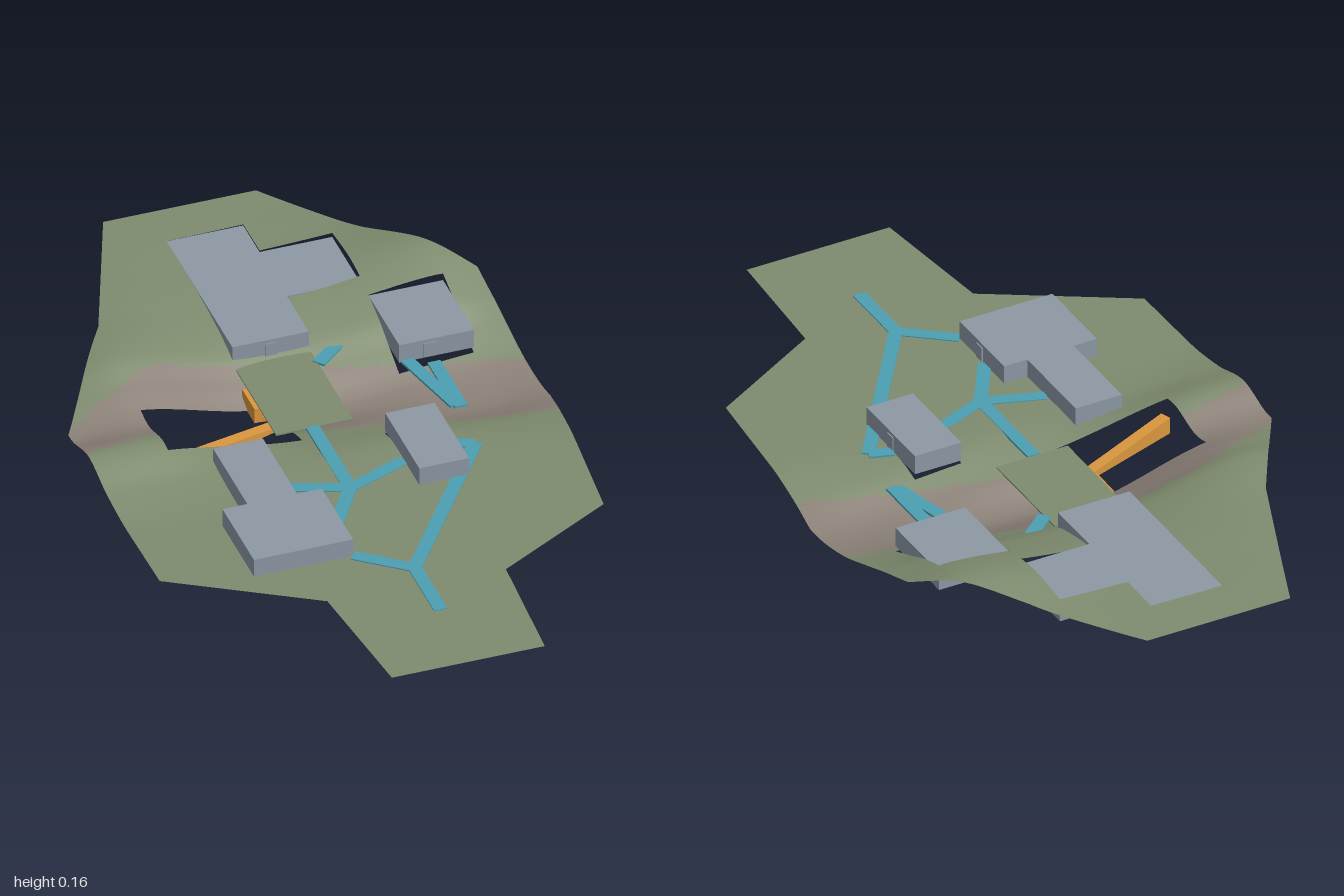
import * as THREE from 'three';

const mat = (name, color, side = THREE.FrontSide) => {
  const m = new THREE.MeshStandardMaterial({ color, side });
  m.name = name;
  return m;
};

const FLOOR = 0.07, ROOF = 0.12;

// Piecewise linear lookup
function linear(keys, vals, t) {
  if (t <= keys[0]) return vals[0];
  for (let i = 1; i < keys.length; i++) {
    if (t <= keys[i]) {
      const f = (t - keys[i - 1]) / (keys[i] - keys[i - 1]);
      return vals[i - 1] + f * (vals[i] - vals[i - 1]);
    }
  }
  return vals[vals.length - 1];
}

// Smooth cubic lookup, level at both ends
function smooth(keys, vals, t) {
  const n = keys.length - 1;
  if (t <= keys[0]) return vals[0];
  if (t >= keys[n]) return vals[n];
  let i = 0;
  while (t > keys[i + 1]) i++;
  const slope = (k) => (k === 0 || k === n ? 0 : (vals[k + 1] - vals[k - 1]) / (keys[k + 1] - keys[k - 1]));
  const d = keys[i + 1] - keys[i], f = (t - keys[i]) / d, g = 1 - f;
  return vals[i] * (1 + 2 * f) * g * g + slope(i) * d * f * g * g
    + vals[i + 1] * f * f * (3 - 2 * f) - slope(i + 1) * d * f * f * g;
}

// Ground heights: one back-to-front section for each x station
const zKeys = [-1, -0.8, -0.6, -0.42, -0.32, -0.2, -0.08, 0.05, 0.2];
const xKeys = [-0.6, -0.4, -0.1, 0.15, 0.45, 0.6];
const sections = [
  [0.12, 0.12, 0.12, 0.115, 0.10, 0.085, 0.115, 0.085, FLOOR],
  [0.12, 0.125, 0.135, 0.143, 0.115, 0.085, 0.11, 0.08, FLOOR],
  [0.12, 0.12, 0.115, 0.09, 0.05, 0.01, 0.05, 0.07, FLOOR],
  [0.12, 0.125, 0.125, 0.09, 0.05, 0.007, 0.035, 0.07, FLOOR],
  [0.12, 0.13, 0.162, 0.12, 0.075, 0.03, 0.018, 0.055, FLOOR],
  [0.12, 0.13, 0.145, 0.105, 0.075, 0.04, 0.03, 0.055, FLOOR],
];
const height = (x, z) => Math.max(0.002, smooth(xKeys, sections.map((s) => smooth(zKeys, s, z)), x));

// Site outline
const leftZ = [-1, -0.56, -0.22, 0.42, 0.64, 1], leftX = [-0.23, -0.4, -0.6, -0.59, -0.23, -0.19];
const rightZ = [-1, -0.74, -0.5, -0.05, 0.48, 0.66, 1], rightX = [0.17, 0.36, 0.57, 0.6, 0.55, 0.23, 0.21];

// Rectangles [x0, x1, z0, z1]
const footprints = [
  [-0.11, 0.09, -0.87, -0.39], [0.09, 0.28, -0.75, -0.55], [0.28, 0.475, -0.485, -0.26],
  [-0.3, -0.17, 0, 0.25], [-0.365, -0.105, 0.25, 0.48], [0.15, 0.28, 0, 0.25],
];
const holes = [...footprints, [-0.4, -0.05, -0.25, -0.05]];

// Bare earth follows the ravine
const isEarth = (x, z) => {
  const centre = linear([-0.6, -0.35, -0.1, 0.15, 0.6], [-0.16, -0.26, -0.25, -0.19, -0.08], x);
  return Math.abs(z - centre) < linear([-0.6, -0.3, 0.6], [0.07, 0.125, 0.125], x);
};

function gridLines(from, to, step, extra) {
  const list = [...extra];
  for (let v = from; v <= to + 1e-6; v += step) list.push(v);
  return [...new Set(list.map((v) => Math.round(v * 1000) / 1000))].sort((a, b) => a - b);
}

function terrainGeometry() {
  const xs = gridLines(-0.6, 0.6, 0.02, holes.flatMap((h) => [h[0], h[1]]));
  const zs = gridLines(-1, 1, 0.0125, [...leftZ, ...rightZ, ...holes.flatMap((h) => [h[2], h[3]])]);
  const pos = [], grass = [], earth = [], w = xs.length;
  for (const z of zs) {
    const l = linear(leftZ, leftX, z), r = linear(rightZ, rightX, z);
    for (const x of xs) {
      const cx = Math.min(r, Math.max(l, x));
      pos.push(cx, height(cx, z), z);
    }
  }
  for (let j = 0; j < zs.length - 1; j++) {
    for (let i = 0; i < w - 1; i++) {
      const a = j * w + i, b = a + 1, c = a + w, d = c + 1;
      if (pos[b * 3] - pos[a * 3] < 1e-6 && pos[d * 3] - pos[c * 3] < 1e-6) continue;
      const x = (xs[i] + xs[i + 1]) / 2, z = (zs[j] + zs[j + 1]) / 2;
      if (holes.some((h) => x > h[0] && x < h[1] && z > h[2] && z < h[3])) continue;
      (isEarth(x, z) ? earth : grass).push(a, c, b, b, c, d);
    }
  }
  const g = new THREE.BufferGeometry();
  g.setAttribute('position', new THREE.Float32BufferAttribute(pos, 3));
  g.setIndex([...grass, ...earth]);
  g.addGroup(0, grass.length, 0);
  g.addGroup(grass.length, earth.length, 1);
  g.computeVertexNormals();
  return g;
}

// Plan outline [x, z] raised from y0 to y1
function prism(points, y0, y1) {
  const shape = new THREE.Shape(points.map(([x, z]) => new THREE.Vector2(x, -z)));
  const g = new THREE.ExtrudeGeometry(shape, { depth: y1 - y0, bevelEnabled: false });
  return g.rotateX(-Math.PI / 2).translate(0, y0, 0);
}

// Straight bar in plan between two points
function bar([x0, z0], [x1, z1], width, y0, y1) {
  const g = new THREE.BoxGeometry(Math.hypot(x1 - x0, z1 - z0), y1 - y0, width);
  g.rotateY(-Math.atan2(z1 - z0, x1 - x0));
  return g.translate((x0 + x1) / 2, (y0 + y1) / 2, (z0 + z1) / 2);
}

export function createModel() {
  const model = new THREE.Group();
  const grass = mat('grass green', 0x7f8c6f, THREE.DoubleSide);
  const earth = mat('earth brown', 0x8b8178, THREE.DoubleSide);
  const grey = mat('building grey', 0x8d98a4);
  const teal = mat('path teal', 0x4d9fb3);
  const orange = mat('timber orange', 0xd9973f);
  const add = (name, geometry, material) => {
    const m = new THREE.Mesh(geometry, material);
    m.name = name;
    model.add(m);
    return m;
  };

  add('terrain', terrainGeometry(), [grass, earth]);

  // Level crossing over the ravine
  add('bridgeDeck', prism([[-0.11, -0.39], [-0.11, -0.07], [0.09, -0.07], [0.09, -0.39]], FLOOR - 0.004, FLOOR), grass);

  // Flat-roofed buildings
  const buildings = {
    rearHall: [[-0.11, -0.87], [-0.11, -0.39], [0.09, -0.39], [0.09, -0.55], [0.28, -0.55], [0.28, -0.75], [0.09, -0.75], [0.09, -0.87]],
    rearPavilion: [[0.28, -0.485], [0.28, -0.26], [0.475, -0.26], [0.475, -0.485]],
    frontHall: [[-0.3, 0], [-0.3, 0.25], [-0.365, 0.25], [-0.365, 0.48], [-0.105, 0.48], [-0.105, 0.25], [-0.17, 0.25], [-0.17, 0]],
    frontPavilion: [[0.15, 0], [0.15, 0.25], [0.28, 0.25], [0.28, 0]],
  };
  for (const [name, plan] of Object.entries(buildings)) add(name, prism(plan, FLOOR - 0.003, ROOF), grey);

  // Doors [x, z, width along x, width along z]
  for (const [x, z, w, d] of [[-0.01, -0.39, 0.03, 0.006], [0.36, -0.26, 0.035, 0.006], [-0.105, 0.375, 0.006, 0.03], [0.28, 0.125, 0.006, 0.03]]) {
    add('door', new THREE.BoxGeometry(w, 0.04, d).translate(x, FLOOR + 0.02, z), grey);
  }

  // Footpaths, as chains of plan points
  const paths = [
    [[-0.015, -0.07], [-0.015, 0.205]],
    [[-0.17, 0.15], [-0.015, 0.205], [0.15, 0.14]],
    [[-0.015, 0.205], [-0.105, 0.35]],
    [[0.02, 0.77], [0.02, 0.58], [-0.105, 0.48]],
    [[0.02, 0.58], [0.34, 0.13], [0.28, 0.11]],
    [[0.3, -0.26], [0.35, -0.04]],
    [[0.36, -0.23], [0.36, -0.03]],
    [[0.09, -0.32], [0.16, -0.38]],
  ];
  for (const chain of paths) {
    for (let i = 1; i < chain.length; i++) add('path', bar(chain[i - 1], chain[i], 0.034, FLOOR - 0.003, FLOOR + 0.003), teal);
  }

  // Timber ramp falling into the ravine, with its landing
  const ramp = bar([-0.39, -0.06], [-0.05, -0.175], 0.03, 0.02, 0.065);
  const p = ramp.attributes.position;
  for (let i = 0; i < p.count; i++) {
    if (p.getY(i) > 0.04 && p.getX(i) > -0.2) p.setY(i, 0.028);
  }
  ramp.computeVertexNormals();
  add('ramp', ramp, orange);
  add('landingPost', bar([-0.105, -0.29], [-0.105, -0.2], 0.03, 0.02, 0.062), orange);
  add('landingBeam', bar([-0.1, -0.22], [-0.055, -0.21], 0.04, 0.02, 0.035), orange);
  return model;
}
